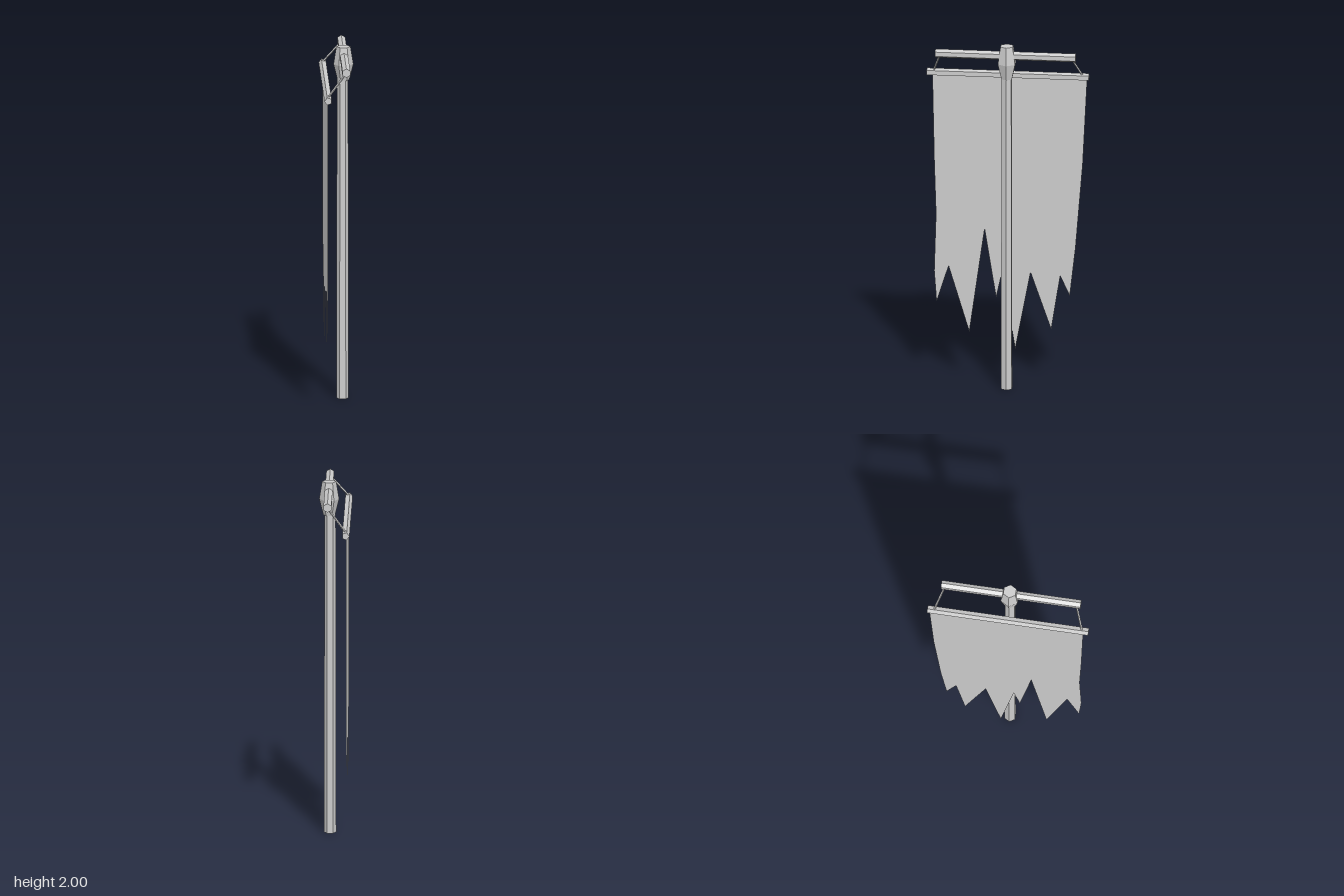
import * as THREE from 'three';

const material = new THREE.MeshStandardMaterial({ color: 0xcccccc, flatShading: true });
const clothMaterial = new THREE.MeshStandardMaterial({ color: 0xcccccc, side: THREE.DoubleSide });

export function createModel() {
  const model = new THREE.Group();
  const add = (name, geometry, x = 0, y = 0, z = 0, mat = material) => {
    const mesh = new THREE.Mesh(geometry, mat);
    mesh.name = name;
    mesh.position.set(x, y, z);
    model.add(mesh);
    return mesh;
  };
  // Upright faceted prism with a corner turned by the given angle
  const prism = (top, bottom, height, sides, turn, open = false) =>
    new THREE.CylinderGeometry(top, bottom, height, sides, 1, open).rotateY(turn);

  // Pole: slightly tapered hexagon, corners towards the sides
  add('pole', prism(0.031, 0.034, 1.84, 6, Math.PI / 6), 0.026, 0.92, -0.003);

  // Pole head: hexagonal knob, widest in the middle
  add('poleHeadUpper', prism(0.039, 0.055, 0.1, 6, Math.PI / 6), 0.031, 1.95, -0.005);
  add('poleHeadLower', prism(0.055, 0.033, 0.09, 6, Math.PI / 6), 0.031, 1.855, -0.005);

  // Upper crossbar through the head, ridge upwards
  add('upperBar', prism(0.025, 0.025, 0.78, 6, 0).rotateX(Math.PI / 2), 0.033, 1.945, 0.002);

  // Lower bar carrying the cloth, five sided
  add('bannerBar', prism(0.022, 0.022, 0.9, 5, -Math.PI / 2).rotateX(Math.PI / 2), -0.068, 1.8, 0);

  // Thin ties between the two bars
  for (const side of [1, -1]) {
    const from = new THREE.Vector3(-0.075, 1.805, 0.415 * side);
    const to = new THREE.Vector3(0.03, 1.935, 0.367 * side);
    const dir = to.clone().sub(from);
    const tie = add(side > 0 ? 'frontTie' : 'backTie', prism(0.006, 0.006, dir.length(), 4, 0));
    tie.position.copy(from).lerp(to, 0.5);
    tie.quaternion.setFromUnitVectors(new THREE.Vector3(0, 1, 0), dir.normalize());
  }

  // Cloth with a torn lower edge, outline as (z, y)
  const outline = [
    [0.42, 1.79], [0.41, 1.29], [0.4, 0.97], [0.41, 0.64], [0.397, 0.46],
    [0.33, 0.67], [0.215, 0.29], [0.13, 0.895], [0.066, 0.495], [0.032, 0.65],
    [-0.04, 0.2], [-0.125, 0.65], [-0.24, 0.32], [-0.29, 0.635], [-0.343, 0.52],
    [-0.375, 0.8], [-0.415, 1.29], [-0.44, 1.79],
  ];
  const cloth = new THREE.Shape(outline.map(([z, y]) => new THREE.Vector2(z, y)));
  add('cloth', new THREE.ShapeGeometry(cloth).rotateY(-Math.PI / 2), -0.07, 0, 0, clothMaterial);

  return model;
}
